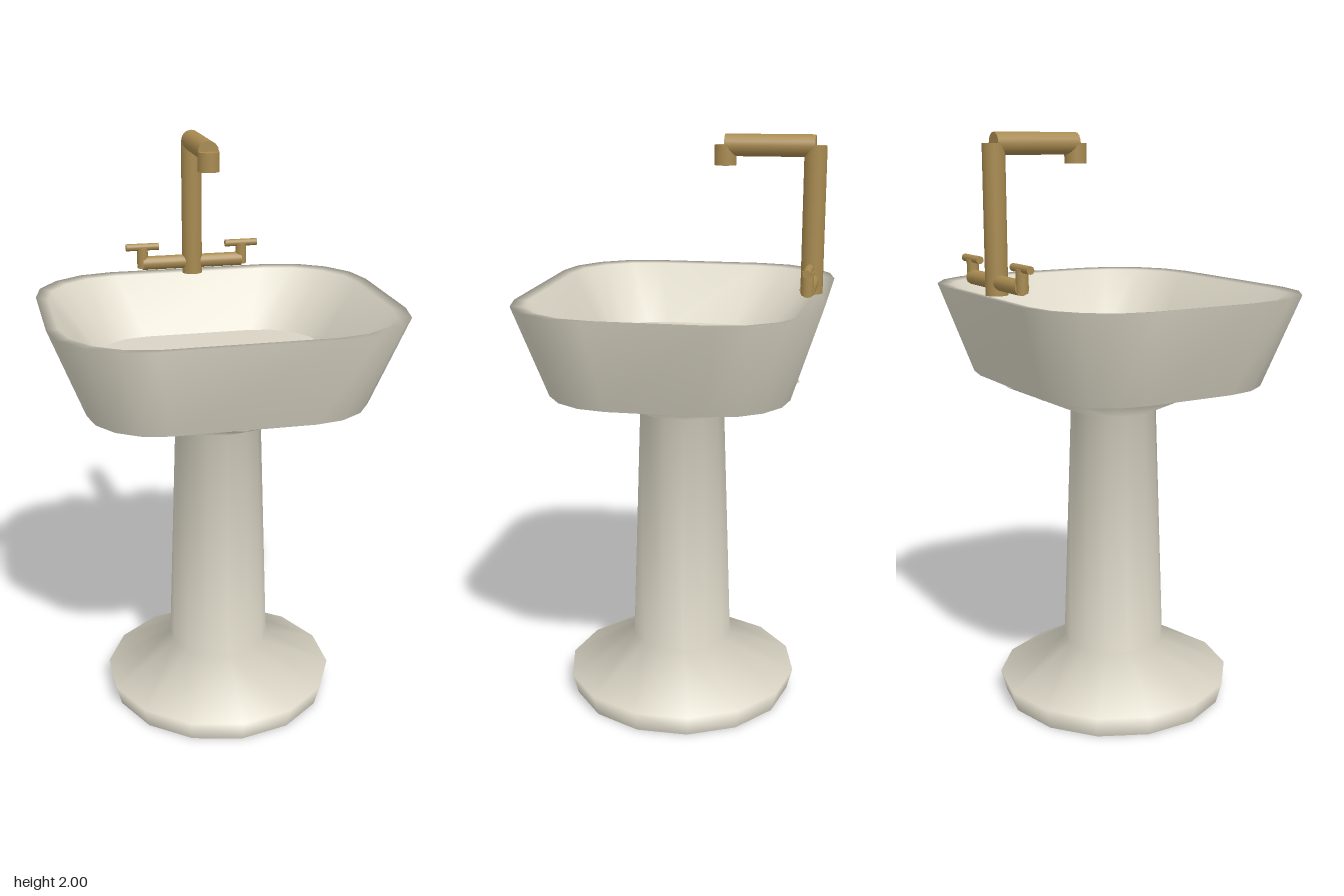
import * as THREE from 'three';

const ceramic = new THREE.MeshStandardMaterial({ color: 0xd8d3c3, side: THREE.DoubleSide });
const brass = new THREE.MeshStandardMaterial({ color: 0xa88a50 });

// Rounded-rectangle outline (half width w, half depth d, corner radius r), 5 points per corner
function outline(w, d, r) {
  const pts = [];
  for (let c = 0; c < 4; c++) {
    const sx = c === 0 || c === 3 ? 1 : -1, sz = c < 2 ? 1 : -1;
    for (let i = 0; i <= 4; i++) {
      const a = (c + i / 4) * Math.PI / 2;
      pts.push(new THREE.Vector2(sx * (w - r) + r * Math.cos(a), sz * (d - r) + r * Math.sin(a)));
    }
  }
  return pts;
}

// Smooth skin through a stack of outlines, given from outside bottom over the rim to inside
function loft(rings) {
  const pos = [], index = [], n = rings[0].pts.length;
  rings.forEach(({ pts, y }) => pts.forEach(p => pos.push(p.x, y, p.y)));
  for (let k = 0; k < rings.length - 1; k++) {
    for (let i = 0; i < n; i++) {
      const a = k * n + i, b = k * n + (i + 1) % n;
      index.push(a, a + n, b, b, a + n, b + n);
    }
  }
  const geo = new THREE.BufferGeometry();
  geo.setAttribute('position', new THREE.Float32BufferAttribute(pos, 3));
  geo.setIndex(index);
  geo.computeVertexNormals();
  return geo;
}

export function createModel() {
  const group = new THREE.Group();
  const add = (name, geo, mat, x = 0, y = 0, z = 0, parent = group) => {
    const mesh = new THREE.Mesh(geo, mat);
    mesh.name = name;
    mesh.position.set(x, y, z);
    parent.add(mesh);
    return mesh;
  };

  // Pedestal: 14-sided foot, tapering column and flared neck
  const profile = [[0.395, 0], [0.415, 0.075], [0.18, 0.21], [0.15, 1.06], [0.41, 1.176]];
  add('pedestal', new THREE.LatheGeometry(profile.map(p => new THREE.Vector2(...p)), 14), ceramic);
  add('pedestalBase', new THREE.CircleGeometry(0.395, 14).rotateZ(Math.PI / 2).rotateX(Math.PI / 2), ceramic);

  // Basin: outer wall, rim and inner wall in one skin, plus the two flat bottoms
  const under = outline(0.476, 0.4, 0.24), floor = outline(0.405, 0.33, 0.21);
  add('basinWall', loft([
    { pts: under, y: 1.175 },
    { pts: outline(0.595, 0.5, 0.3), y: 1.485 },
    { pts: outline(0.555, 0.46, 0.28), y: 1.48 },
    { pts: floor, y: 1.28 },
  ]), ceramic);
  const flat = (pts, turn) => new THREE.ShapeGeometry(new THREE.Shape(pts)).rotateX(turn * Math.PI / 2);
  add('basinFloor', flat(floor, -1), ceramic, 0, 1.28);
  add('basinUnderside', flat(under, 1), ceramic, 0, 1.175);

  // Tap: riser, spout, nozzle, cross pipe and two T handles
  const tap = new THREE.Group();
  tap.name = 'tap';
  tap.position.z = -0.44;
  group.add(tap);
  const rod = (name, r, len, axis, x, y, z) => {
    const geo = new THREE.CylinderGeometry(r, r, len, 16);
    if (axis === 'x') geo.rotateZ(Math.PI / 2);
    if (axis === 'z') geo.rotateX(Math.PI / 2);
    return add(name, geo, brass, x, y, z, tap);
  };
  rod('riser', 0.037, 0.48, 'y', 0, 1.725, 0);
  rod('spout', 0.036, 0.295, 'z', 0, 1.964, 0.148);
  rod('nozzle', 0.037, 0.065, 'y', 0, 1.932, 0.295);
  rod('crossPipe', 0.025, 0.37, 'x', 0, 1.527, 0);
  for (const side of [-1, 1]) {
    rod('handlePost', 0.02, 0.075, 'y', side * 0.185, 1.548, 0);
    rod('handleBar', 0.013, 0.12, 'x', side * 0.185, 1.587, 0);
  }
  return group;
}
